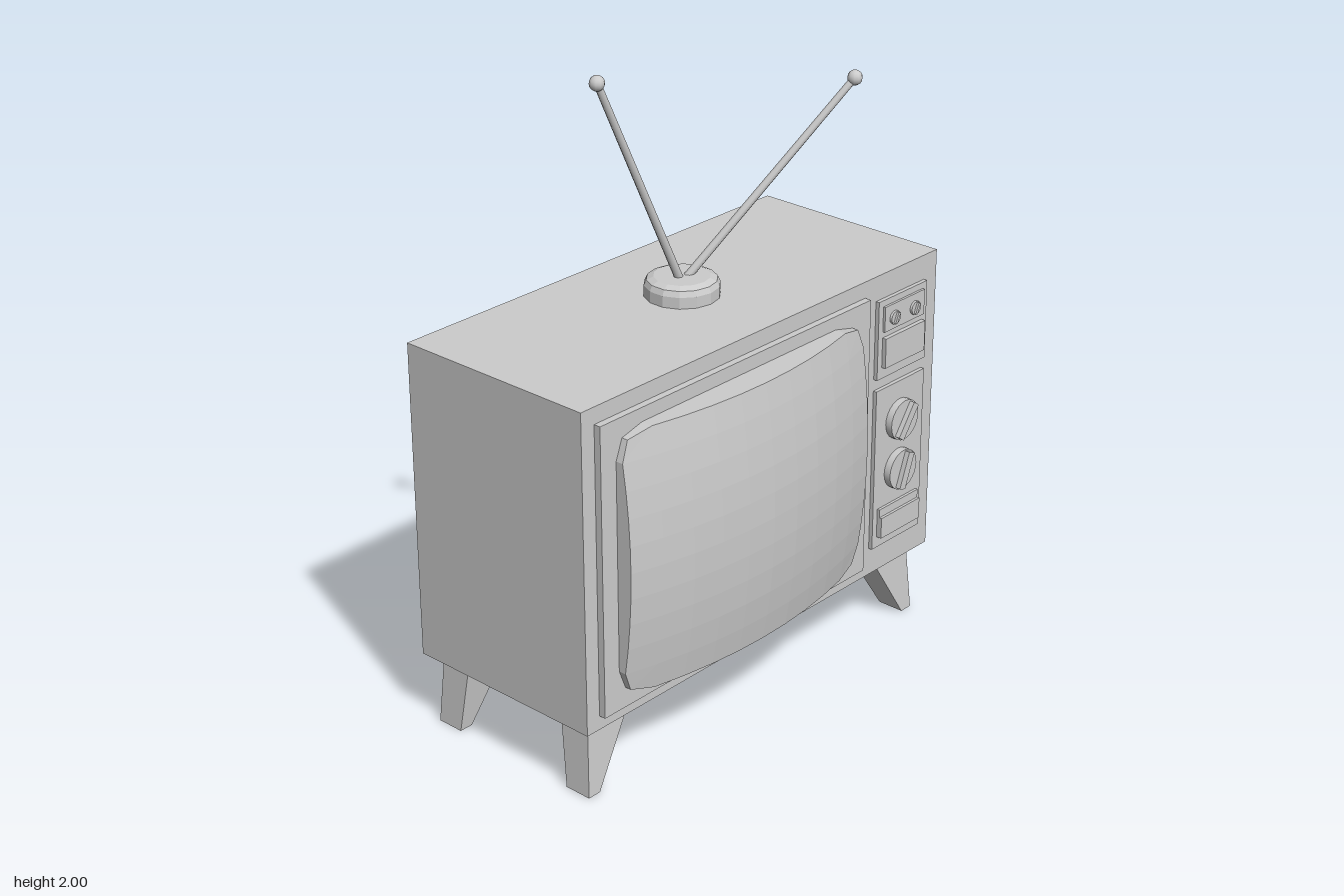
import * as THREE from 'three';
import { toCreasedNormals } from 'three/addons/utils/BufferGeometryUtils.js';

const flat = new THREE.MeshStandardMaterial({ color: 0xcccccc, flatShading: true });
const smooth = new THREE.MeshStandardMaterial({ color: 0xcccccc });

function add(parent, name, geometry, material = flat) {
  const mesh = new THREE.Mesh(geometry, material);
  mesh.name = name;
  parent.add(mesh);
  return mesh;
}

// Box given by its limits on each axis
function block(parent, name, [x0, x1], [y0, y1], [z0, z1]) {
  const mesh = add(parent, name, new THREE.BoxGeometry(x1 - x0, y1 - y0, z1 - z0));
  mesh.position.set((x0 + x1) / 2, (y0 + y1) / 2, (z0 + z1) / 2);
  return mesh;
}

// Disc facing the front
function disc(parent, name, radius, x, y, z0, z1, sides = 24) {
  const g = new THREE.CylinderGeometry(radius, radius, z1 - z0, sides).rotateX(Math.PI / 2);
  const mesh = add(parent, name, toCreasedNormals(g, 0.6), smooth);
  mesh.position.set(x, y, (z0 + z1) / 2);
  return mesh;
}

// Bulging picture tube: a gridded box with drawn-in corners and a spherical front
function screenGeometry() {
  const w = 1.035, h = 0.825, back = 0.275, apex = 0.413;
  const g = new THREE.BoxGeometry(w, h, 1, 10, 10, 1);
  const p = g.attributes.position;
  for (let i = 0; i < p.count; i++) {
    let x = p.getX(i), y = p.getY(i);
    if (Math.abs(x) > w / 2 - 0.001 && Math.abs(y) > h / 2 - 0.001) {
      x -= Math.sign(x) * 0.024;
      y -= Math.sign(y) * 0.02;
    }
    const z = p.getZ(i) > 0 ? apex - 0.29 * x * x - 0.24 * y * y : back;
    p.setXYZ(i, x, y, z);
  }
  return g;
}

// Splayed leg: a box whose three levels are moved to tapering sections
function legGeometry(sx, sz) {
  const g = new THREE.BoxGeometry(1, 2, 1, 1, 2, 1);
  const p = g.attributes.position;
  // y, inner x, outer x, inner z, outer z (z measured from the cabinet centre)
  const levels = [
    [0, 0.70, 0.745, 0.222, 0.312],
    [0.2, 0.58, 0.732, 0.195, 0.299],
    [0.24, 0.58, 0.73, 0.192, 0.297],
  ];
  for (let i = 0; i < p.count; i++) {
    const [y, xi, xo, zi, zo] = levels[Math.round(p.getY(i) + 1)];
    const x = p.getX(i) * sx > 0 ? xo : xi;
    const z = p.getZ(i) * sz > 0 ? zo : zi;
    p.setXYZ(i, x * sx, y, z * sz - 0.0775);
  }
  return g;
}

// Antenna rod with a ball at its tip
function antenna(parent, name, from, to) {
  const a = new THREE.Vector3(...from), b = new THREE.Vector3(...to);
  const dir = b.clone().sub(a);
  const rod = add(parent, name + 'Rod', new THREE.CylinderGeometry(0.011, 0.013, dir.length(), 8), smooth);
  rod.position.copy(a).add(b).multiplyScalar(0.5);
  rod.quaternion.setFromUnitVectors(new THREE.Vector3(0, 1, 0), dir.normalize());
  add(parent, name + 'Tip', new THREE.SphereGeometry(0.023, 10, 8), smooth).position.copy(b);
}

export function createModel() {
  const model = new THREE.Group();
  model.name = 'television';

  // Cabinet, screen surround and screen
  block(model, 'cabinet', [-0.775, 0.775], [0.235, 1.245], [-0.418, 0.263]);
  block(model, 'screenSurround', [-0.725, 0.43], [0.28, 1.193], [0.25, 0.285]);
  add(model, 'screen', screenGeometry()).position.set(-0.1475, 0.7375, 0);

  // Upper control panel
  const controls = new THREE.Group();
  controls.name = 'controls';
  model.add(controls);
  block(controls, 'upperPanel', [0.482, 0.715], [0.908, 1.165], [0.25, 0.276]);
  block(controls, 'dialPlate', [0.503, 0.694], [1.063, 1.145], [0.26, 0.284]);
  block(controls, 'upperButton', [0.503, 0.694], [0.945, 1.043], [0.26, 0.29]);
  for (const x of [0.547, 0.645]) {
    disc(controls, 'smallDial', 0.022, x, 1.1, 0.27, 0.292, 12);
    const grip = block(controls, 'smallDialGrip', [x - 0.005, x + 0.005], [1.082, 1.118], [0.28, 0.299]);
    grip.rotation.z = -0.4;
  }

  // Lower control panel with two knobs and a slotted button
  block(controls, 'lowerPanel', [0.482, 0.715], [0.328, 0.87], [0.25, 0.276]);
  for (const [y, tilt] of [[0.743, -0.62], [0.573, -0.36]]) {
    disc(controls, 'knob', 0.066, 0.598, y, 0.26, 0.299);
    const grip = block(controls, 'knobGrip', [0.584, 0.612], [y - 0.06, y + 0.06], [0.29, 0.315]);
    grip.rotation.z = tilt;
  }
  block(controls, 'lowerButton', [0.503, 0.694], [0.365, 0.435], [0.26, 0.294]);
  block(controls, 'lowerButtonRim', [0.503, 0.694], [0.435, 0.462], [0.26, 0.285]);

  // Four legs
  for (const sx of [-1, 1])
    for (const sz of [-1, 1])
      add(model, (sz > 0 ? 'front' : 'back') + (sx > 0 ? 'Left' : 'Right') + 'Leg', legGeometry(sx, sz));

  // Antenna base and rods
  const aerial = new THREE.Group();
  aerial.name = 'antenna';
  aerial.position.z = -0.08;
  model.add(aerial);
  const profile = [[0.114, 1.24], [0.114, 1.28], [0.106, 1.297], [0.085, 1.306], [0, 1.306]]
    .map(([r, y]) => new THREE.Vector2(r, y));
  add(aerial, 'antennaBase', new THREE.LatheGeometry(profile, 14));
  antenna(aerial, 'right', [-0.008, 1.29, 0], [-0.341, 1.977, 0]);
  antenna(aerial, 'left', [0.008, 1.29, 0.004], [0.471, 1.848, 0.25]);

  return model;
}
